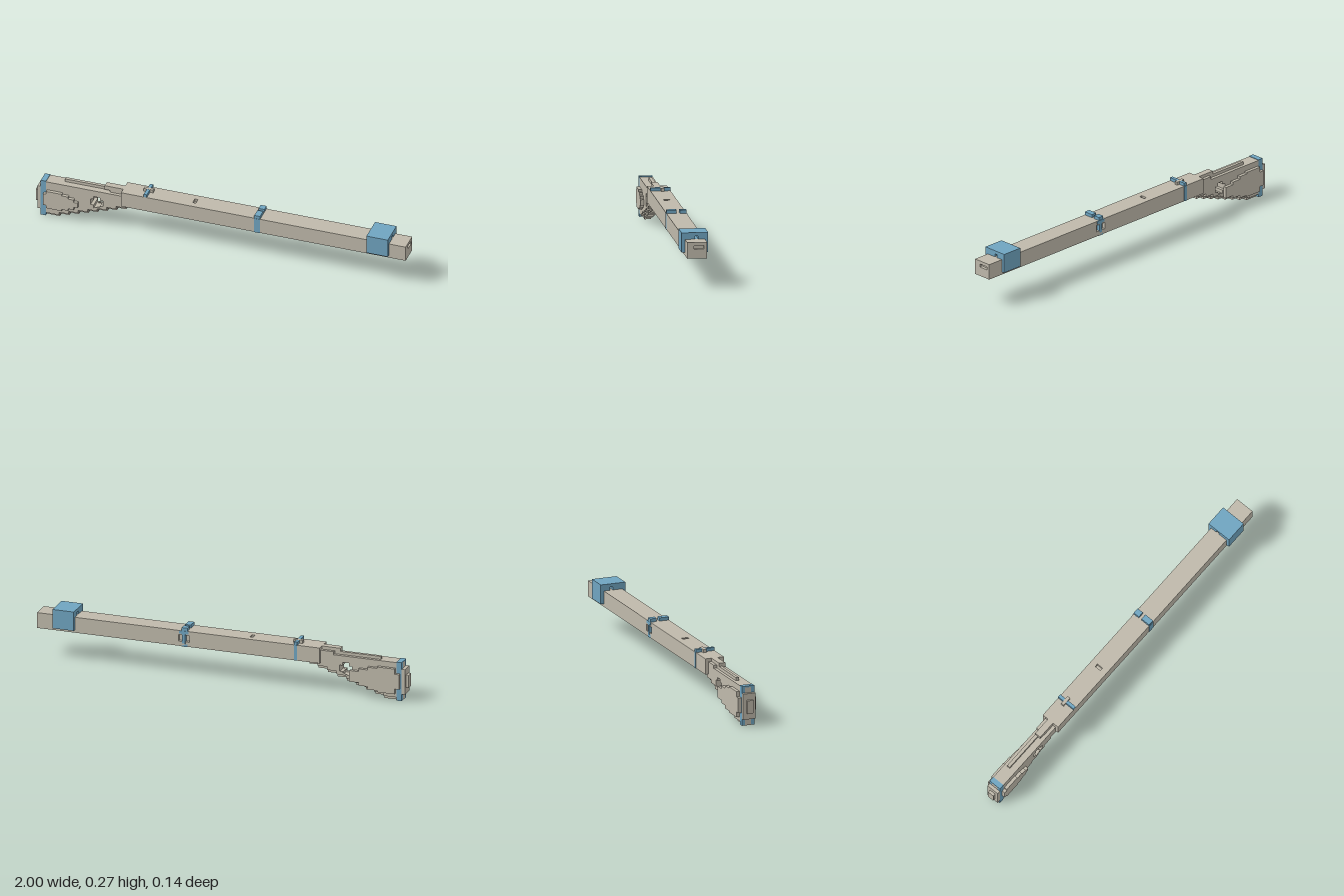
import * as THREE from 'three';

const U = 0.017; // block size
const wood = new THREE.MeshStandardMaterial({ color: 0xbfb9ab });
wood.name = 'warm grey';
const metal = new THREE.MeshStandardMaterial({ color: 0x6fa4c0 });
metal.name = 'steel blue';

const rect = (x0, x1, y0, y1) => [[x0, y0], [x1, y0], [x1, y1], [x0, y1]];
const vectors = (pts) => pts.map(([x, y]) => new THREE.Vector2(x, y));

// Outline extruded from z0 to z1, with optional holes
function slab(outline, holes, z0, z1) {
  const shape = new THREE.Shape(vectors(outline));
  holes.forEach((h) => shape.holes.push(new THREE.Path(vectors(h))));
  const geo = new THREE.ExtrudeGeometry(shape, { depth: z1 - z0, bevelEnabled: false });
  return geo.translate(0, 0, z0);
}

// Symmetric stepped lens outline: each step is [x, half height]
function lens(steps, end, cy) {
  const lower = [], upper = [];
  steps.forEach(([x, h], i) => {
    const x1 = i < steps.length - 1 ? steps[i + 1][0] : end;
    lower.push([x, cy - h], [x1, cy - h]);
    upper.push([x, cy + h], [x1, cy + h]);
  });
  return [...lower, ...upper.reverse()];
}

// Stock outline with a staircase underside
function stockOutline(x0, lift) {
  const pts = [[x0, lift]];
  for (let i = 0; i < 9; i++) {
    const x = -0.87 + i * 0.051, y = lift + i * U;
    pts.push([x, y]);
    if (y + U < 0.16) pts.push([x, y + U]);
  }
  const last = pts[pts.length - 1];
  pts.push([last[0] + 0.051, last[1]], [last[0] + 0.051, 0.175], [-0.5, 0.175], [-0.5, 0.205], [x0, 0.205]);
  return pts;
}

export function createModel() {
  const model = new THREE.Group();
  const add = (name, geo, mat = wood) => {
    const mesh = new THREE.Mesh(geo, mat);
    mesh.name = name;
    model.add(mesh);
    return mesh;
  };
  const box = (name, x0, x1, y0, y1, z0, z1, mat) =>
    add(name, new THREE.BoxGeometry(x1 - x0, y1 - y0, z1 - z0)
      .translate((x0 + x1) / 2, (y0 + y1) / 2, (z0 + z1) / 2), mat);

  // Barrel: solid core wrapped in plates with recesses
  const B = { x0: -0.53, x1: 1, y0: 0.155, y1: 0.238, z: 0.051 };
  box('barrelCore', B.x0, B.x1 - U, B.y0 + U, B.y1 - U, -B.z + U, B.z);
  const topSlot = rect(-0.157, -0.14, -U, U);
  const bottomSlot = rect(-0.18, -0.11, -U / 2, U / 2);
  const flat = rect(B.x0, B.x1 - U, -B.z, B.z);
  add('barrelTop', slab(flat, [topSlot], B.y1 - U, B.y1).rotateX(-Math.PI / 2));
  add('barrelBottom', slab(flat, [bottomSlot], B.y0, B.y0 + U).rotateX(-Math.PI / 2));
  add('barrelBack', slab(rect(B.x0, B.x1 - U, B.y0 + U, B.y1 - U),
    [rect(0.175, 0.235, 0.18, 0.215)], -B.z, -B.z + U));
  add('muzzle', slab(rect(-B.z, B.z, B.y0, B.y1),
    [rect(-U, 2 * U, 0.204, 0.221)], B.x1 - U, B.x1).rotateY(Math.PI / 2));

  // Front sleeve with a sighting channel
  add('frontSleeve', slab(rect(-4 * U, 4 * U, 0.17, 0.272),
    [rect(0, U, 0.238, 0.255)], 0.795, 0.91).rotateY(Math.PI / 2), metal);

  // Middle band and its notched sight
  const m0 = 0.186, m1 = 0.217, e = 0.002;
  box('middleBandFront', m0, m1, B.y0, B.y1, B.z - U, B.z + e, metal);
  box('middleBandBottom', m0, m1, B.y0 - e, B.y0 + U, -B.z, B.z, metal);
  box('middleBandBack', 0.197, 0.214, 0.17, 0.225, -B.z - e, -B.z + U, metal);
  box('middleBandCrossbar', 0.18, 0.23, 0.222, 0.238, -B.z - e, -B.z + U, metal);
  box('middleSight', m0, m1, B.y1, 0.255, 0, B.z, metal);
  box('middleSight', m0, m1, B.y1, 0.255, -B.z, -U, metal);

  // Rear band and sight
  box('rearSightBlock', -0.426, -0.375, B.y1, 0.255, -U, 0);
  box('rearSight', -0.409, -0.392, B.y1, 0.2545, 0, B.z, metal);
  box('rearSight', -0.409, -0.392, B.y1, 0.2545, -B.z, -U, metal);
  box('rearBandBack', -0.409, -0.392, B.y0, B.y1, -B.z - e, -B.z + U, metal);

  // Stock: centre layer one step lower than the two side layers
  const a = [-0.7, -0.683, -0.649, -0.632], b = [0.102, 0.119, 0.153, 0.17];
  const cross = [[a[1], b[0]], [a[2], b[0]], [a[2], b[1]], [a[3], b[1]], [a[3], b[2]], [a[2], b[2]],
    [a[2], b[3]], [a[1], b[3]], [a[1], b[2]], [a[0], b[2]], [a[0], b[1]], [a[1], b[1]]];
  add('stockCentre', slab(stockOutline(-0.968, 0), [cross], -U, U));
  for (const s of [-1, 1]) {
    const z0 = s > 0 ? U : -2 * U;
    add('stockSide', slab(stockOutline(-0.94, U), [cross], z0, z0 + U));
    box('buttStrap', -0.968, -0.94, 0, 0.205, z0, z0 + U, metal);
  }
  box('buttStrapTop', -0.968, -0.94, 0.2, 0.208, -2 * U, 2 * U, metal);

  // Raised cheek panels
  add('frontPanel', slab(lens([[-0.95, 0.034], [-0.933, 0.051], [-0.85, 0.042], [-0.815, 0.03], [-0.785, 0.015]],
    -0.765, 0.107), [], 2 * U, 3 * U));
  add('backPanel', slab(lens([[-0.96, 0.04], [-0.935, 0.068], [-0.84, 0.06], [-0.79, 0.045], [-0.74, 0.03]],
    -0.69, 0.107), [], -3 * U, -2 * U));

  // Butt end steps
  box('buttPlate', -0.985, -0.968, 0.036, 0.172, -2 * U, 2 * U);
  box('buttCap', -1, -0.985, 0.07, 0.138, -U, U);

  // Ridge along the top of the stock
  box('stockRidge', -0.85, -0.53, 0.2, 0.221, -U, 0);
  box('stockRidgeWide', -0.6, -0.52, 0.2, 0.221, -2 * U, U);
  box('ridgeBump', -0.63, -0.53, 0.215, 0.238, -U, U);

  return model;
}
